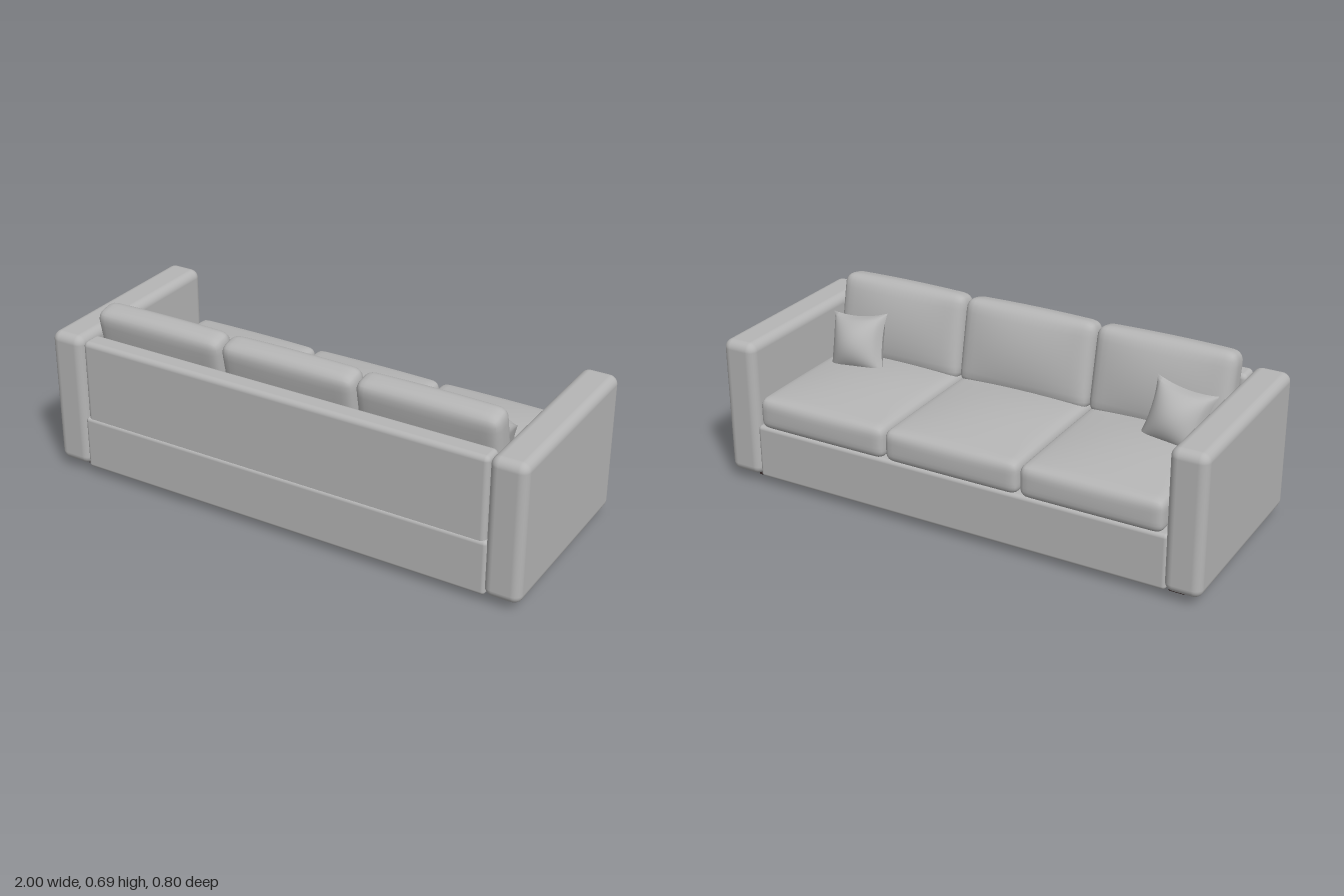
import * as THREE from 'three';
import { mergeGeometries, mergeVertices } from 'three/addons/utils/BufferGeometryUtils.js';
import { RoundedBoxGeometry } from 'three/addons/geometries/RoundedBoxGeometry.js';

// Weld vertices so shading runs smoothly round the edges
function smooth(geometry) {
  geometry.deleteAttribute('uv');
  geometry.deleteAttribute('normal');
  const welded = mergeVertices(geometry, 1e-5);
  welded.computeVertexNormals();
  return welded;
}

// Rounded box whose faces swell in the middle: bulge = [side, top, front] for -z front
function cushionGeometry(w, h, d, r, top, front, back) {
  const geo = new THREE.BoxGeometry(2, 2, 2, 20, 14, 20);
  const pos = geo.attributes.position;
  const half = new THREE.Vector3(w / 2, h / 2, d / 2);
  const inner = half.clone().subScalar(r);
  const p = new THREE.Vector3(), core = new THREE.Vector3();
  const ease = (t) => Math.sign(t) * (1 - (1 - Math.abs(t)) ** 2);
  for (let i = 0; i < pos.count; i++) {
    p.fromBufferAttribute(pos, i);
    p.set(ease(p.x), ease(p.y), ease(p.z)).multiply(half);
    core.copy(p).clamp(inner.clone().negate(), inner);
    p.sub(core).setLength(r).add(core);
    const u = 1 - (p.x / half.x) ** 2, v = 1 - (p.y / half.y) ** 2, s = 1 - (p.z / half.z) ** 2;
    if (p.y > 0) p.y += top * u * s * (p.y / half.y);
    if (p.z < 0) p.z += front * u * v * (p.z / half.z);
    else p.z += back * u * v * (p.z / half.z);
    pos.setXYZ(i, p.x, p.y, p.z);
  }
  return smooth(geo);
}

// Square scatter pillow with drawn-in sides and pointed corners
function pillowGeometry(size, thickness) {
  const sheet = (side) => {
    const geo = new THREE.PlaneGeometry(2, 2, 20, 20);
    const pos = geo.attributes.position;
    for (let i = 0; i < pos.count; i++) {
      const u = pos.getX(i), v = pos.getY(i);
      const x = u * (1 - 0.13 * (1 - v * v)), y = v * (1 - 0.13 * (1 - u * u));
      const z = Math.pow(Math.max(0, (1 - u * u) * (1 - v * v)), 0.6);
      pos.setXYZ(i, x * size / 2, y * size / 2, z * thickness / 2);
    }
    if (side < 0) geo.rotateY(Math.PI);
    geo.computeVertexNormals();
    return geo;
  };
  return mergeGeometries([sheet(1), sheet(-1)]);
}

export function createModel() {
  const sofa = new THREE.Group();
  sofa.name = 'sofa';
  const fabric = new THREE.MeshStandardMaterial({ color: 0xb5b5b5 });
  fabric.name = 'greyFabric';
  const wood = new THREE.MeshStandardMaterial({ color: 0x3a2c2c });
  wood.name = 'darkWood';

  const add = (name, geometry, material, x, y, z) => {
    const mesh = new THREE.Mesh(geometry, material);
    mesh.name = name;
    mesh.position.set(x, y, z);
    sofa.add(mesh);
    return mesh;
  };
  const roundBox = (w, h, d, r) => new RoundedBoxGeometry(w, h, d, 4, r);

  // Frame: base and back panel
  add('base', roundBox(1.73, 0.22, 0.775, 0.015), fabric, 0, 0.14, 0.003);
  add('backPanel', roundBox(1.71, 0.355, 0.085, 0.02), fabric, 0, 0.3975, 0.3425);

  // Arms, legs and scatter pillows, mirrored left and right
  const arm = roundBox(0.143, 0.555, 0.793, 0.035);
  const leg = roundBox(0.062, 0.03, 0.062, 0.004);
  const pillow = pillowGeometry(0.248, 0.165);
  for (const s of [-1, 1]) {
    const side = s > 0 ? 'left' : 'right';
    add(side + 'Arm', arm, fabric, s * 0.9285, 0.3105, 0);
    for (const z of [-0.298, 0.298]) add(side + 'Leg', leg, wood, s * 0.886, 0.015, z);

    const across = new THREE.Vector3(0.24, -s * 0.03, -s * 0.013).normalize();
    const up = new THREE.Vector3(s * 0.055, 0.22, 0.09);
    const out = across.clone().cross(up).normalize();
    up.crossVectors(out, across);
    const cushion = add(side + 'Pillow', pillow, fabric, s * 0.69, 0.465, 0.068);
    cushion.quaternion.setFromRotationMatrix(new THREE.Matrix4().makeBasis(across, up, out));
  }

  // Three seat cushions with three back cushions leaning on the panel
  const seat = cushionGeometry(0.562, 0.13, 0.64, 0.035, 0.028, 0.006, 0);
  const back = cushionGeometry(0.562, 0.342, 0.115, 0.042, 0.006, 0.032, 0.004);
  for (const x of [-0.566, 0, 0.566]) {
    add('seatCushion', seat, fabric, x, 0.31, -0.073);
    add('backCushion', back, fabric, x, 0.515, 0.227).rotation.x = 0.2;
  }
  return sofa;
}
